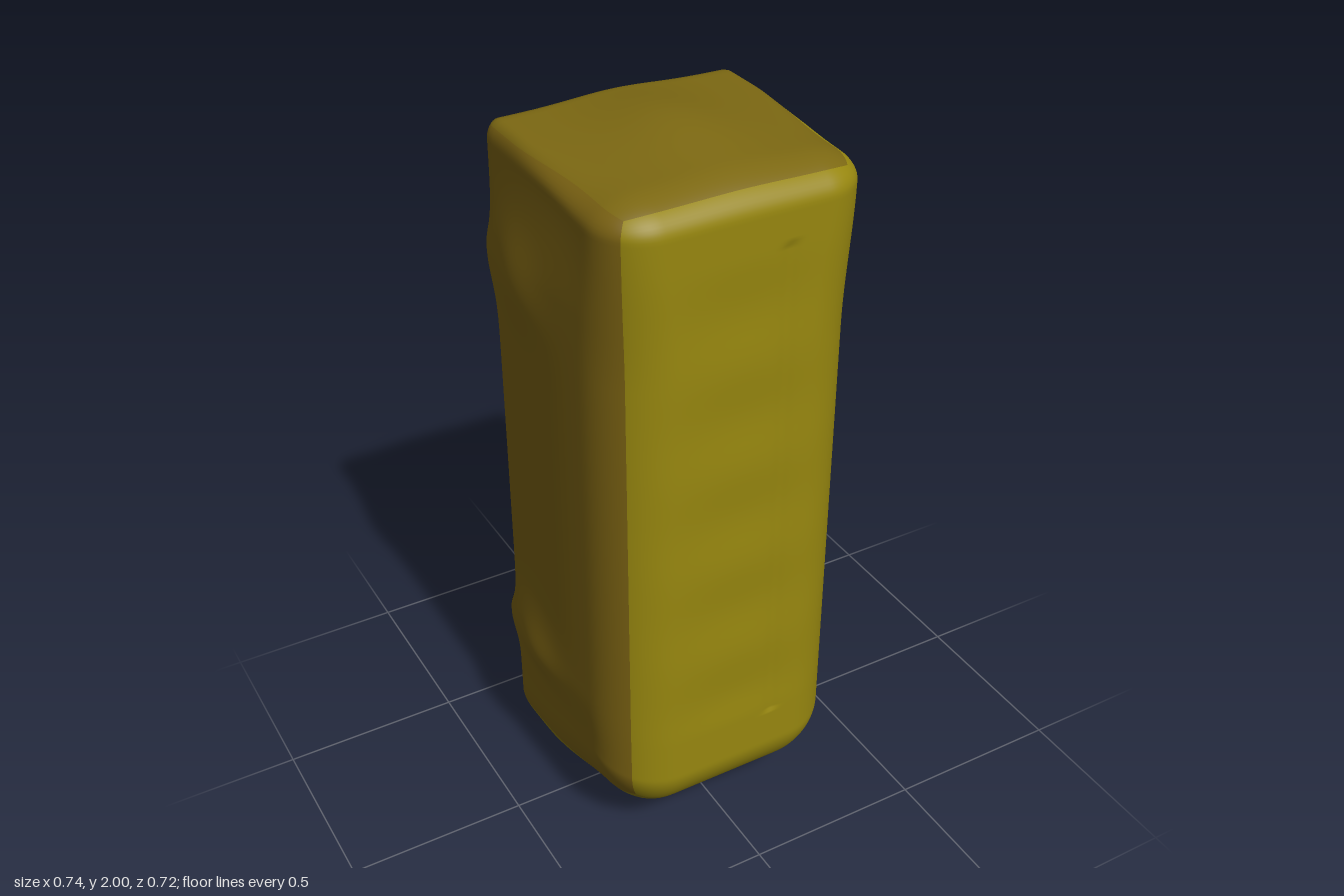
import * as THREE from 'three';
import { mergeVertices } from 'three/addons/utils/BufferGeometryUtils.js';

const { clamp, lerp, smoothstep } = THREE.MathUtils;
const gauss = (d, s) => Math.exp(-(d * d) / (2 * s * s));

const HALF_W = 0.345, BACK = -0.3, FRONT = 0.36, HEIGHT = 1.96;
const KNOB_Y = [0.42, 1.6];
const DENT_X = 0.085, DENT_Y = [0.45, 0.85, 1.31, 1.71];

// Rounds the box: tight edges at the back, generous ones at the front
function roundEdges(p) {
  const frontRadius = lerp(0.17, 0.13, smoothstep(p.y, 1.5, 1.9));
  const r = lerp(0.035, frontRadius, smoothstep(p.z, -0.15, 0.19));
  const ry = p.y > 1
    ? lerp(0.05, 0.075, smoothstep(p.z, 0, 0.3))
    : lerp(0.03, 0.18, smoothstep(p.z, -0.3, 0.3));
  const core = new THREE.Vector3(
    clamp(p.x, -HALF_W + r, HALF_W - r),
    clamp(p.y, ry, HEIGHT - ry),
    clamp(p.z, BACK + r, FRONT - r));
  const d = p.clone().sub(core);
  d.set(d.x / r, d.y / ry, d.z / r).normalize();
  p.set(core.x + d.x * r, core.y + d.y * ry, core.z + d.z * r);
}

// Soft details: sloping base, domed top, knobs, dents and front relief
function sculpt(p) {
  const { x, y, z } = p;
  const ax = Math.abs(x);
  const back = smoothstep(-z, 0.22, 0.3), front = smoothstep(z, 0.27, 0.36);
  const u = clamp((z - BACK) / (FRONT - BACK), 0, 1);

  // base rises to the front and curls up toward both sides
  const t = clamp((ax - 0.15) / 0.195, 0, 1);
  const curl = 0.16 * (1 - 0.5 * u) * (1 - Math.sqrt(1 - t * t));
  p.y += (0.06 * u + 0.06 * u * u + curl) * (1 - smoothstep(y, 0, 0.55));
  p.y += 0.04 * gauss(x, 0.11) * gauss(z + 0.02, 0.17) * smoothstep(y, 1.8, HEIGHT);

  // the right side swells along its whole height
  const side = Math.sign(x) * smoothstep(ax, 0.25, 0.34);
  if (x < 0) p.x += side * 0.012 * gauss(z - 0.05, 0.13)
    * smoothstep(y, 0.15, 0.5) * (1 - smoothstep(y, 1.65, 1.9));

  // corner knobs and the swelling they leave on the sides
  for (const ky of KNOB_Y) {
    const swell = x > 0 && ky > 1 ? 0.014 : 0.024;
    p.z -= 0.065 * back * gauss(ax - 0.295, 0.045) * gauss(y - ky, 0.065);
    p.x += side * swell * gauss(z + 0.13, 0.09) * gauss(y - ky, 0.09);
  }
  // row of dents in the back
  for (const dy of DENT_Y) p.z += 0.14 * back * gauss(Math.hypot(x - DENT_X, y - dy), 0.055);

  // shallow ladder of panels on the front
  if (y > 0.35 && y < 1.8) {
    const rungs = 0.5 + 0.5 * Math.cos((y - 0.35) * Math.PI * 2 / 0.29);
    p.z -= 0.005 * front * gauss(x, 0.13) * (1 - rungs);
    p.z -= 0.005 * front * gauss(x - 0.11, 0.015);
  }
}

export function createModel() {
  const group = new THREE.Group();
  const box = new THREE.BoxGeometry(2 * HALF_W, HEIGHT, FRONT - BACK, 84, 190, 34);
  const sides = box.groups;
  box.translate(0, HEIGHT / 2, (FRONT + BACK) / 2);
  box.deleteAttribute('uv');
  box.deleteAttribute('normal');
  const geo = mergeVertices(box, 1e-5);

  const pos = geo.attributes.position;
  const p = new THREE.Vector3();
  for (let i = 0; i < pos.count; i++) {
    p.fromBufferAttribute(pos, i);
    roundEdges(p);
    sculpt(p);
    pos.setXYZ(i, p.x, p.y, p.z);
  }
  geo.computeVertexNormals();

  // Sort the quads into the sides of the block and the dent linings
  const names = ['leftSide', 'rightSide', 'top', 'underside', 'front', 'backPanel'];
  const colors = {
    leftSide: 0x96860f, rightSide: 0x786012, top: 0x7c6812, underside: 0x857610,
    front: 0x96860f, backPanel: 0x220d08, dentLinings: 0x7a6410,
  };
  const faces = Object.fromEntries(Object.keys(colors).map(name => [name, []]));
  const index = geo.index.array;
  for (let i = 0; i < index.length; i += 6) {
    const quad = index.slice(i, i + 6);
    const x = (pos.getX(quad[0]) + pos.getX(quad[4])) / 2;
    const y = (pos.getY(quad[0]) + pos.getY(quad[4])) / 2;
    const name = names[sides.findIndex(s => i < s.start + s.count)];
    const inDent = DENT_Y.some(dy => Math.hypot(x - DENT_X, y - dy) < 0.07);
    faces[name === 'backPanel' && inDent ? 'dentLinings' : name].push(...quad);
  }

  for (const [name, list] of Object.entries(faces)) {
    const part = new THREE.BufferGeometry();
    part.setAttribute('position', pos);
    part.setAttribute('normal', geo.attributes.normal);
    part.setIndex(list);
    const mesh = new THREE.Mesh(part, new THREE.MeshStandardMaterial({ color: colors[name] }));
    mesh.name = name;
    group.add(mesh);
  }
  return group;
}
